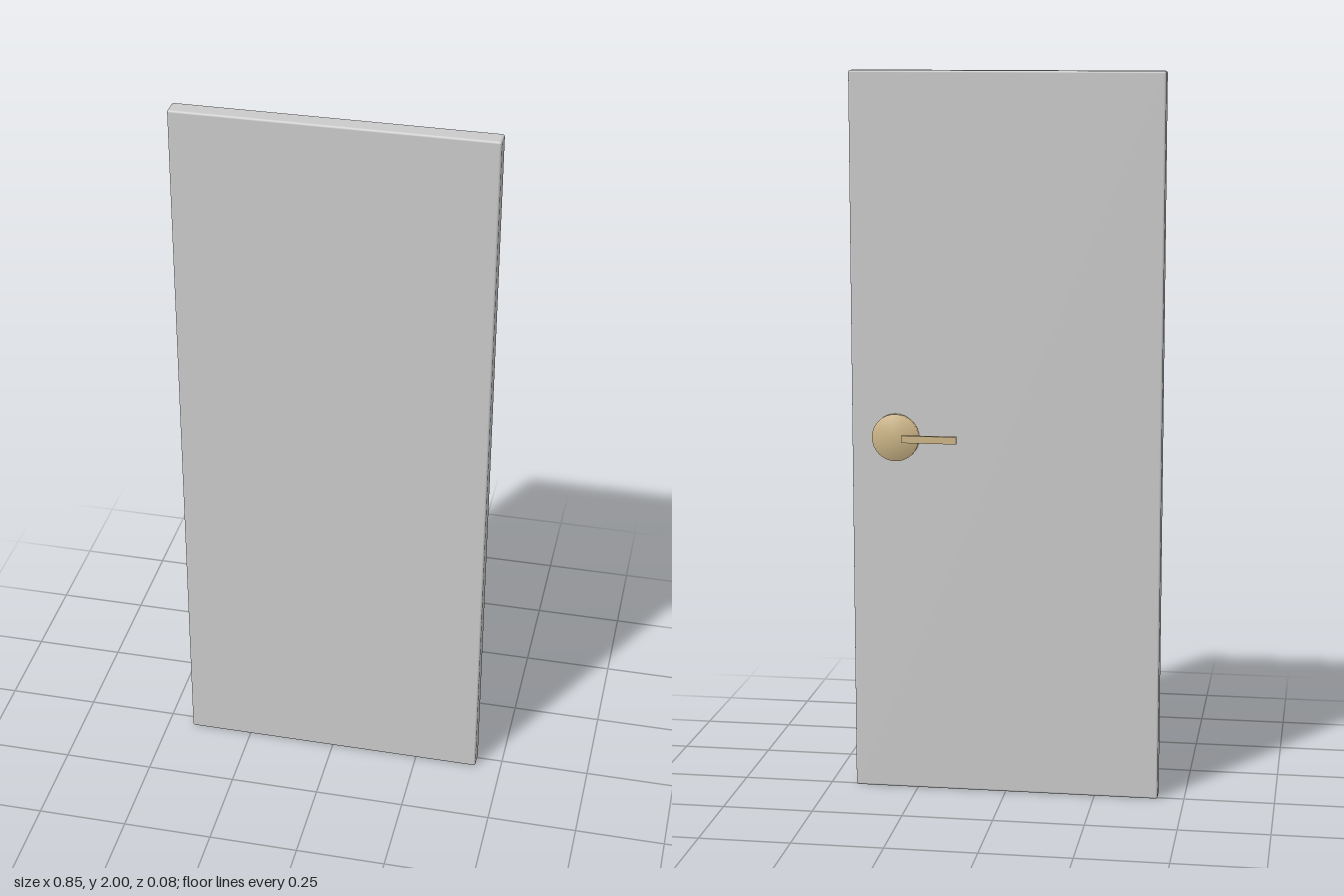
import * as THREE from 'three';
import { RoundedBoxGeometry } from 'three/addons/geometries/RoundedBoxGeometry.js';
import { mergeVertices } from 'three/addons/utils/BufferGeometryUtils.js';

// Weld a geometry so that its normals blend smoothly over the edges
function smooth(geometry) {
  geometry.deleteAttribute('uv');
  geometry.deleteAttribute('normal');
  const welded = mergeVertices(geometry);
  welded.computeVertexNormals();
  return welded;
}

export function createModel() {
  const model = new THREE.Group();
  model.name = 'door';
  const grey = new THREE.MeshStandardMaterial({ color: 0xcccccc });
  const brass = new THREE.MeshStandardMaterial({ color: 0xd0b88a });

  function add(name, geometry, material, x, y, z, parent = model) {
    const mesh = new THREE.Mesh(geometry, material);
    mesh.name = name;
    mesh.position.set(x, y, z);
    parent.add(mesh);
    return mesh;
  }

  // Door leaf with softened edges
  add('doorPanel', new RoundedBoxGeometry(0.854, 2, 0.052, 2, 0.006), grey, 0, 1, 0.013);

  // Handle on the back: round backplate and flat lever
  const handle = new THREE.Group();
  handle.name = 'handle';
  model.add(handle);
  const disc = smooth(new THREE.CylinderGeometry(0.065, 0.065, 0.018, 32).rotateX(Math.PI / 2));
  add('backplate', disc, brass, 0.303, 1.005, -0.022, handle);
  add('lever', new THREE.BoxGeometry(0.151, 0.02, 0.01), brass, 0.2075, 1.003, -0.0355, handle);

  return model;
}
